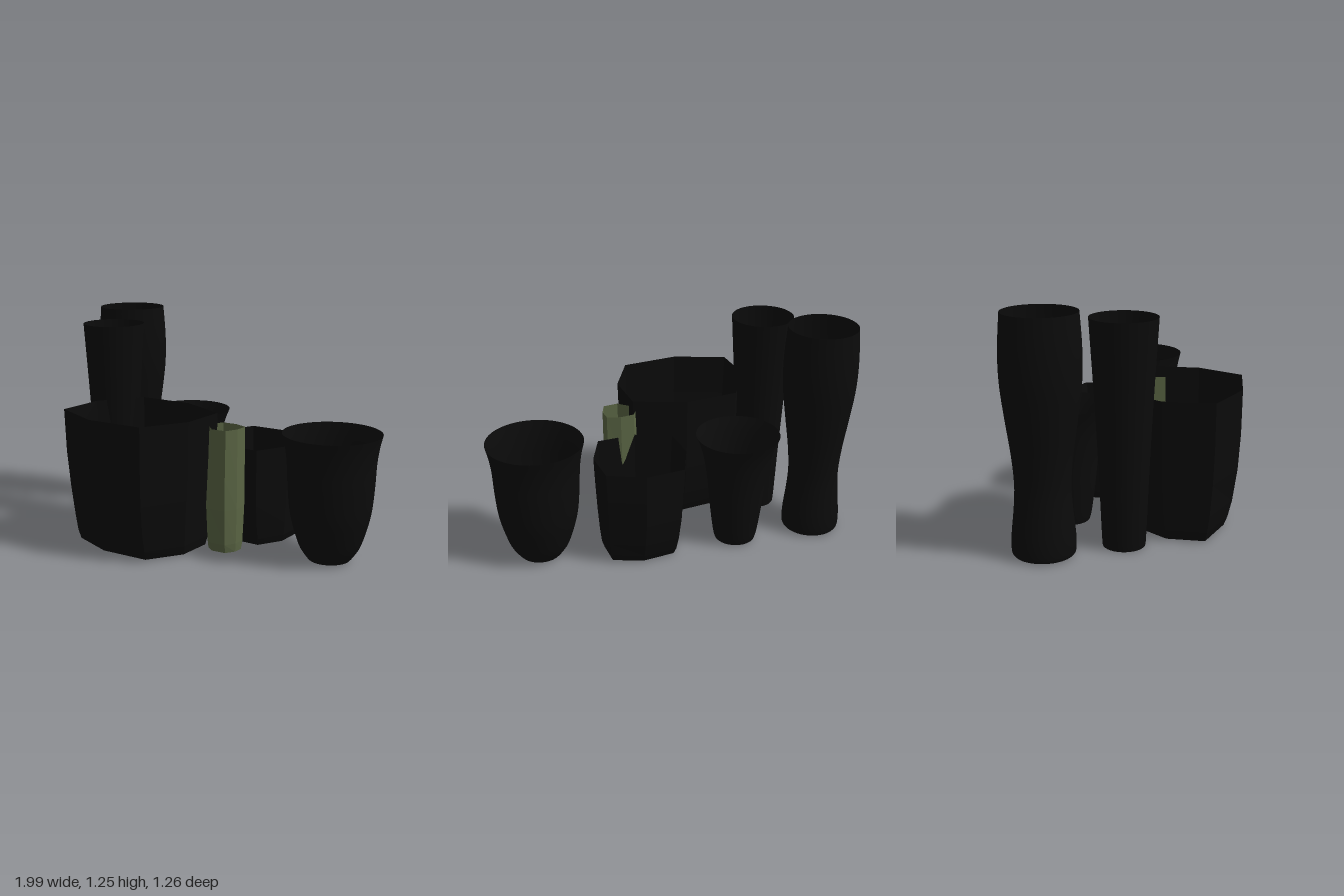
import * as THREE from 'three';

const black = new THREE.MeshStandardMaterial({ color: 0x0b0b0b, side: THREE.DoubleSide });
const blackFlat = new THREE.MeshStandardMaterial({ color: 0x0b0b0b, side: THREE.DoubleSide, flatShading: true });
const green = new THREE.MeshStandardMaterial({ color: 0x5a6544, side: THREE.DoubleSide, flatShading: true });

// Round open vase: smooth turned wall plus a flat floor; profile is [radius, y] from the bottom up
function roundVase(name, x, z, profile) {
  const vase = new THREE.Group();
  vase.name = name;
  const curve = new THREE.SplineCurve(profile.map(([r, y]) => new THREE.Vector2(r, y)));
  const wall = new THREE.Mesh(new THREE.LatheGeometry(curve.getPoints(40), 64), black);
  wall.name = name + 'Wall';
  const floor = new THREE.Mesh(new THREE.CircleGeometry(profile[0][0], 64).rotateX(Math.PI / 2), black);
  floor.name = name + 'Floor';
  vase.add(wall, floor);
  vase.position.set(x, 0, z);
  return vase;
}

// Faceted open vase: an eight-sided rim outline scaled per level [y, scaleX, scaleZ, shiftX], with a floor
function facetedVase(name, x, z, outline, levels, material) {
  const rings = levels.map(([y, sx, sz, dx = 0]) =>
    outline.map(([px, pz]) => [(px - x) * sx + dx, y, (pz - z) * sz]));
  const n = outline.length;
  const pos = [];
  for (let i = 0; i < n; i++) {
    const j = (i + 1) % n;
    for (let k = 0; k < rings.length - 1; k++) {
      const a = rings[k][i], b = rings[k][j], c = rings[k + 1][j], d = rings[k + 1][i];
      pos.push(...a, ...c, ...b, ...a, ...d, ...c);
    }
    pos.push(0, 0, 0, ...rings[0][i], ...rings[0][j]);
  }
  const geo = new THREE.BufferGeometry();
  geo.setAttribute('position', new THREE.Float32BufferAttribute(pos, 3));
  geo.computeVertexNormals();
  const mesh = new THREE.Mesh(geo, material);
  mesh.name = name;
  mesh.position.set(x, 0, z);
  return mesh;
}

export function createModel() {
  const group = new THREE.Group();
  group.name = 'vaseCollection';

  // Round vases
  group.add(
    roundVase('tallWaistedVase', -0.79, -0.425, [
      [0.155, 0], [0.164, 0.02], [0.163, 0.1], [0.148, 0.25], [0.143, 0.37], [0.155, 0.52],
      [0.18, 0.7], [0.2, 0.86], [0.206, 0.98], [0.203, 1.1], [0.193, 1.24]]),
    roundVase('taperedVase', -0.672, -0.02, [
      [0.108, 0], [0.114, 0.03], [0.13, 0.4], [0.149, 0.76], [0.176, 1.19]]),
    roundVase('smallFlaredVase', -0.325, -0.325, [
      [0.115, 0], [0.127, 0.05], [0.147, 0.2], [0.165, 0.37], [0.185, 0.5], [0.208, 0.59], [0.234, 0.655]]),
    roundVase('wideCupVase', 0.73, 0.065, [
      [0.115, 0], [0.135, 0.025], [0.168, 0.08], [0.2, 0.18], [0.222, 0.28], [0.234, 0.42],
      [0.24, 0.54], [0.252, 0.63], [0.268, 0.7]])
  );

  // Faceted pots
  group.add(
    facetedVase('largeFacetedPot', -0.31, 0.29, [
      [-0.72, 0.44], [-0.68, 0.17], [-0.49, -0.045], [-0.18, -0.015],
      [0.088, 0.14], [0.05, 0.405], [-0.12, 0.63], [-0.45, 0.6]],
    [[0, 0.85, 0.74], [0.05, 0.88, 0.8], [0.14, 0.9, 0.87], [0.32, 0.94, 0.95], [0.52, 0.98, 0.99], [0.76, 1, 1]], blackFlat),
    facetedVase('smallFacetedPot', 0.19, -0.135, [
      [-0.08, -0.015], [-0.055, -0.22], [0.06, -0.397], [0.28, -0.375],
      [0.46, -0.25], [0.435, -0.045], [0.32, 0.13], [0.1, 0.1]],
    [[0, 0.83, 0.71], [0.04, 0.88, 0.78], [0.12, 0.91, 0.86], [0.25, 0.94, 0.94], [0.4, 0.97, 0.98], [0.57, 1, 1]], blackFlat),
    facetedVase('greenFacetedVase', 0.165, 0.19, [
      [0.075, 0.215], [0.075, 0.135], [0.105, 0.1], [0.185, 0.105],
      [0.255, 0.14], [0.245, 0.215], [0.205, 0.28], [0.12, 0.275]],
    [[0, 0.98, 0.72, -0.013], [0.05, 1.03, 0.86, -0.012], [0.25, 1.11, 0.98, -0.012], [0.42, 1.06, 1, -0.007], [0.7, 1, 1]], green)
  );

  return group;
}
